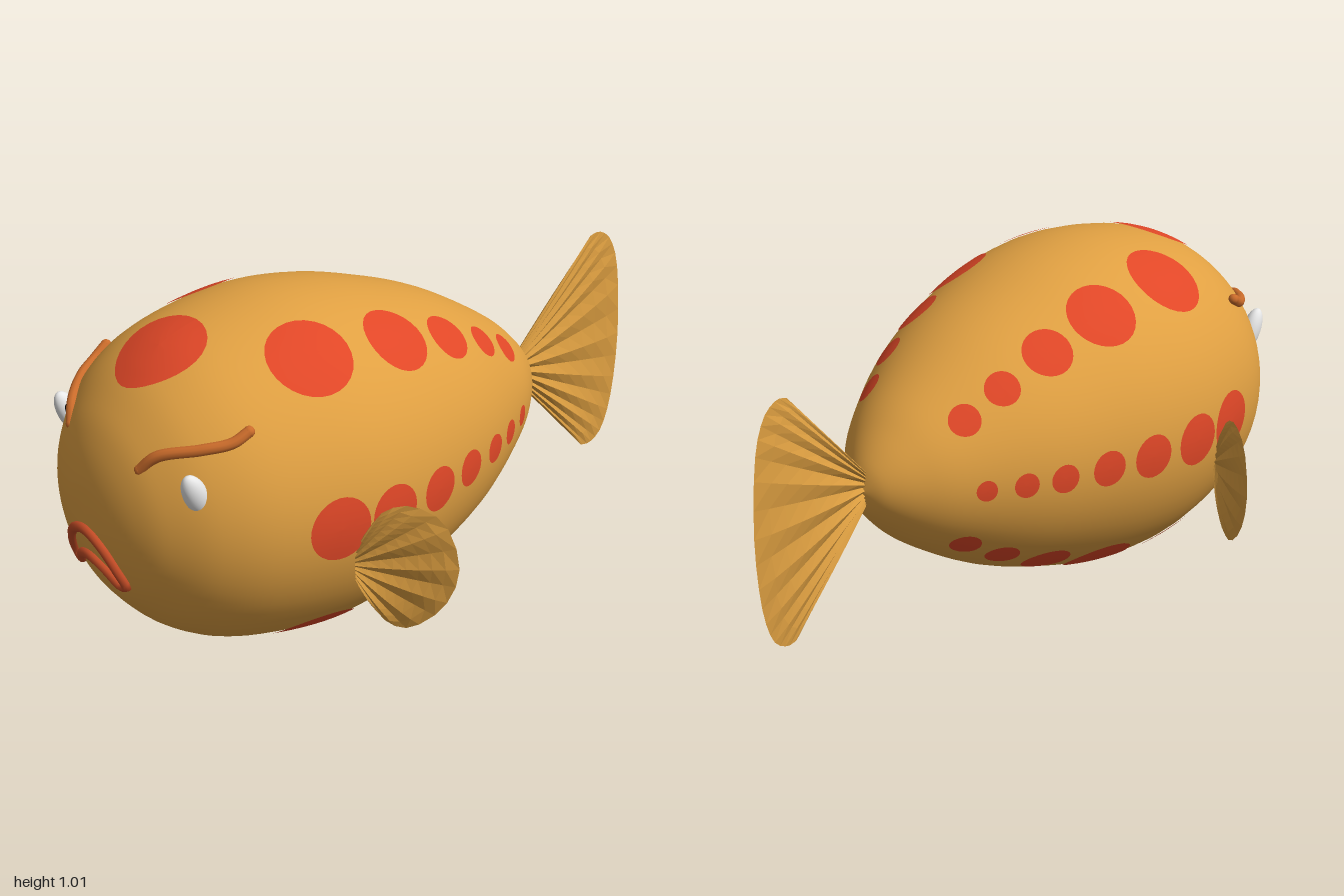
import * as THREE from 'three';

const CY = 0.505; // height of the body axis

const mat = (name, color, side = THREE.FrontSide) => {
  const m = new THREE.MeshStandardMaterial({ color, side });
  m.name = name;
  return m;
};

export function createModel() {
  const skin = mat('golden skin', 0xe0a042);
  const finSkin = mat('golden fin', 0xdb9d40, THREE.DoubleSide);
  finSkin.flatShading = true;
  const red = mat('red spot', 0xe04727);
  const white = mat('eye white', 0xe8e8e8);
  const black = mat('pupil black', 0x050505);
  const brown = mat('brow brown', 0xcb6c2b);
  const lip = mat('lip red brown', 0xc44c26);

  const model = new THREE.Group();
  model.name = 'fish';
  const add = (name, geo, material, parent = model) => {
    const mesh = new THREE.Mesh(geo, material);
    mesh.name = name;
    parent.add(mesh);
    return mesh;
  };

  // Body: a teardrop turned around the x axis, blunt head at -x
  const profile = new THREE.SplineCurve([
    [0, -0.99], [0.1, -0.983], [0.2, -0.953], [0.29, -0.9], [0.39, -0.8], [0.463, -0.65],
    [0.504, -0.41], [0.49, -0.2], [0.437, 0], [0.357, 0.2], [0.235, 0.4], [0.15, 0.5],
    [0.07, 0.565], [0, 0.59],
  ].map(([r, x]) => new THREE.Vector2(r, x))).getPoints(78);
  profile[0].x = profile[profile.length - 1].x = 0;
  const body = add('body', new THREE.LatheGeometry(profile, 64).rotateZ(-Math.PI / 2), skin);
  body.position.y = CY;

  // Body radius at x, and head surface x at a given radius
  const radiusAt = (x) => {
    const i = Math.max(1, profile.findIndex((p) => p.y >= x));
    const a = profile[i - 1], b = profile[i];
    return THREE.MathUtils.mapLinear(x, a.y, b.y, a.x, b.x);
  };
  const headX = (r) => {
    const i = Math.max(1, profile.findIndex((p) => p.x >= r));
    const a = profile[i - 1], b = profile[i];
    return THREE.MathUtils.mapLinear(r, a.x, b.x, a.y, b.y);
  };

  // Spots: discs wrapped onto the body; angle is measured from the top toward +z
  const spots = new THREE.Group();
  spots.name = 'spots';
  spots.position.y = CY;
  model.add(spots);
  const addSpot = (x0, angle, size) => {
    const geo = new THREE.RingGeometry(0, size, 28, 4);
    const p = geo.attributes.position;
    const r0 = radiusAt(x0);
    const slope = (radiusAt(x0 + 0.03) - radiusAt(x0 - 0.03)) / 0.06;
    const c = 1 / Math.hypot(1, slope);
    for (let i = 0; i < p.count; i++) {
      const x = x0 + p.getX(i) * c;
      const a = angle - p.getY(i) / r0;
      const r = radiusAt(x) + 0.004;
      p.setXYZ(i, x, r * Math.cos(a), r * Math.sin(a));
    }
    geo.computeVertexNormals();
    add('spot', geo, red, spots);
  };
  const sideRow = [[-0.49, 0.093], [-0.31, 0.079], [-0.13, 0.066], [0.02, 0.054],
    [0.155, 0.043], [0.26, 0.037], [0.36, 0.031]];
  const diagonalRow = [[-0.43, 0.125, 0.59], [-0.13, 0.106, 0.62], [0.08, 0.075, 0.65],
    [0.24, 0.052, 0.7], [0.36, 0.047, 0.76]];
  for (const s of [1, -1]) {
    for (const [x, size] of sideRow) addSpot(x, s * Math.PI / 2, size);
    for (const [x, size, a] of diagonalRow) {
      addSpot(x, s * a, size);
      addSpot(x, s * (Math.PI - a), size);
    }
  }
  addSpot(-0.73, 0, 0.138);
  addSpot(-0.73, Math.PI, 0.138);

  // Ridged fin: two pleated sheets spanning a root line and a curved tip
  const finGeometry = (root, tip, pleats, thick) => {
    const tipCurve = new THREE.SplineCurve(tip.map((p) => new THREE.Vector2(...p)));
    const rootCurve = new THREE.LineCurve(...root.map((p) => new THREE.Vector2(...p)));
    const nu = pleats * 2, nv = 8;
    const pos = [], index = [];
    for (const s of [1, -1]) {
      const base = pos.length / 3;
      for (let i = 0; i <= nu; i++) {
        const u = i / nu;
        const a = rootCurve.getPoint(u), b = tipCurve.getPoint(u);
        const ridge = (i % 2 ? 1 : 0.35) * Math.sqrt(Math.sin(Math.PI * u) + 1e-9);
        for (let j = 0; j <= nv; j++) {
          const v = j / nv;
          const p = a.clone().lerp(b, v);
          const swell = Math.pow(Math.sin(Math.PI * (0.12 + 0.88 * v)) + 1e-9, 0.6);
          pos.push(p.x, p.y, s * thick * ridge * swell);
          if (i < nu && j < nv) {
            const k = base + i * (nv + 1) + j, l = k + nv + 1;
            if (s > 0) index.push(k, l, k + 1, l, l + 1, k + 1);
            else index.push(k, k + 1, l, l, k + 1, l + 1);
          }
        }
      }
    }
    const geo = new THREE.BufferGeometry();
    geo.setAttribute('position', new THREE.Float32BufferAttribute(pos, 3));
    geo.setIndex(index);
    geo.computeVertexNormals();
    return geo;
  };

  // Tail fin
  add('tailFin', finGeometry([[0.56, 0.47], [0.56, 0.55]],
    [[0.86, 0.15], [0.9, 0.148], [0.95, 0.19], [0.985, 0.31], [1, 0.51], [0.985, 0.73],
      [0.95, 0.84], [0.9, 0.88], [0.86, 0.875]], 11, 0.018), finSkin);

  // Tube with rounded ends
  const addTube = (name, points, radius, material, closed = false) => {
    const curve = new THREE.CatmullRomCurve3(points, closed);
    const tube = add(name, new THREE.TubeGeometry(curve, 48, radius, 10, closed), material);
    if (!closed) for (const end of [points[0], points[points.length - 1]]) {
      add(name + 'End', new THREE.SphereGeometry(radius, 10, 8), material, tube).position.copy(end);
    }
  };

  for (const s of [1, -1]) {
    const side = s > 0 ? 'left' : 'right';

    // Side fin, swept backward
    const fin = add(side + 'SideFin', finGeometry([[0, 0.32], [0, 0.43]],
      [[0.03, 0.27], [0.09, 0.205], [0.16, 0.2], [0.25, 0.28], [0.29, 0.4], [0.25, 0.53],
        [0.16, 0.575], [0.08, 0.55], [0.03, 0.48]], 9, 0.017), finSkin);
    fin.position.set(-0.435, 0, s * 0.487);
    fin.rotation.y = -s * Math.atan2(0.795, 0.606);

    // Eye: flattened ball facing out and forward, with the pupil capping its front
    const normal = new THREE.Vector3(-0.68, 0.2, s * 0.68).normalize();
    const forward = new THREE.Vector3(-0.7, 0, -s * 0.7).normalize();
    const across = new THREE.Vector3().crossVectors(normal, forward);
    const eye = new THREE.Group();
    eye.name = side + 'Eye';
    eye.quaternion.setFromRotationMatrix(new THREE.Matrix4().makeBasis(forward, normal, across));
    eye.position.set(-0.838, 0.65, s * 0.322);
    model.add(eye);
    add('eyeball', new THREE.SphereGeometry(1, 32, 20).scale(0.11, 0.06, 0.11), white, eye);
    add('pupil', new THREE.SphereGeometry(1, 24, 6, 0, Math.PI * 2, 0, 0.44)
      .rotateZ(-0.72).scale(0.112, 0.062, 0.112), black, eye);

    // Eyebrow
    addTube(side + 'Brow', [[-0.915, 0.69, 0.175], [-0.885, 0.735, 0.215], [-0.8, 0.762, 0.3],
      [-0.73, 0.778, 0.343], [-0.685, 0.803, 0.355]]
      .map(([x, y, z]) => new THREE.Vector3(x, y, s * z)), 0.016, brown);
  }

  // Mouth: a frowning loop laid on the head
  const mouth = [[0, 0.46], [0.07, 0.435], [0.115, 0.37], [0.125, 0.32], [0.1, 0.315],
    [0.06, 0.355], [0, 0.375], [-0.06, 0.355], [-0.1, 0.315], [-0.125, 0.32],
    [-0.115, 0.37], [-0.07, 0.435]];
  addTube('mouth', mouth.map(([z, y]) =>
    new THREE.Vector3(headX(Math.hypot(z, y - CY)) - 0.003, y, z)), 0.015, lip, true);

  return model;
}
